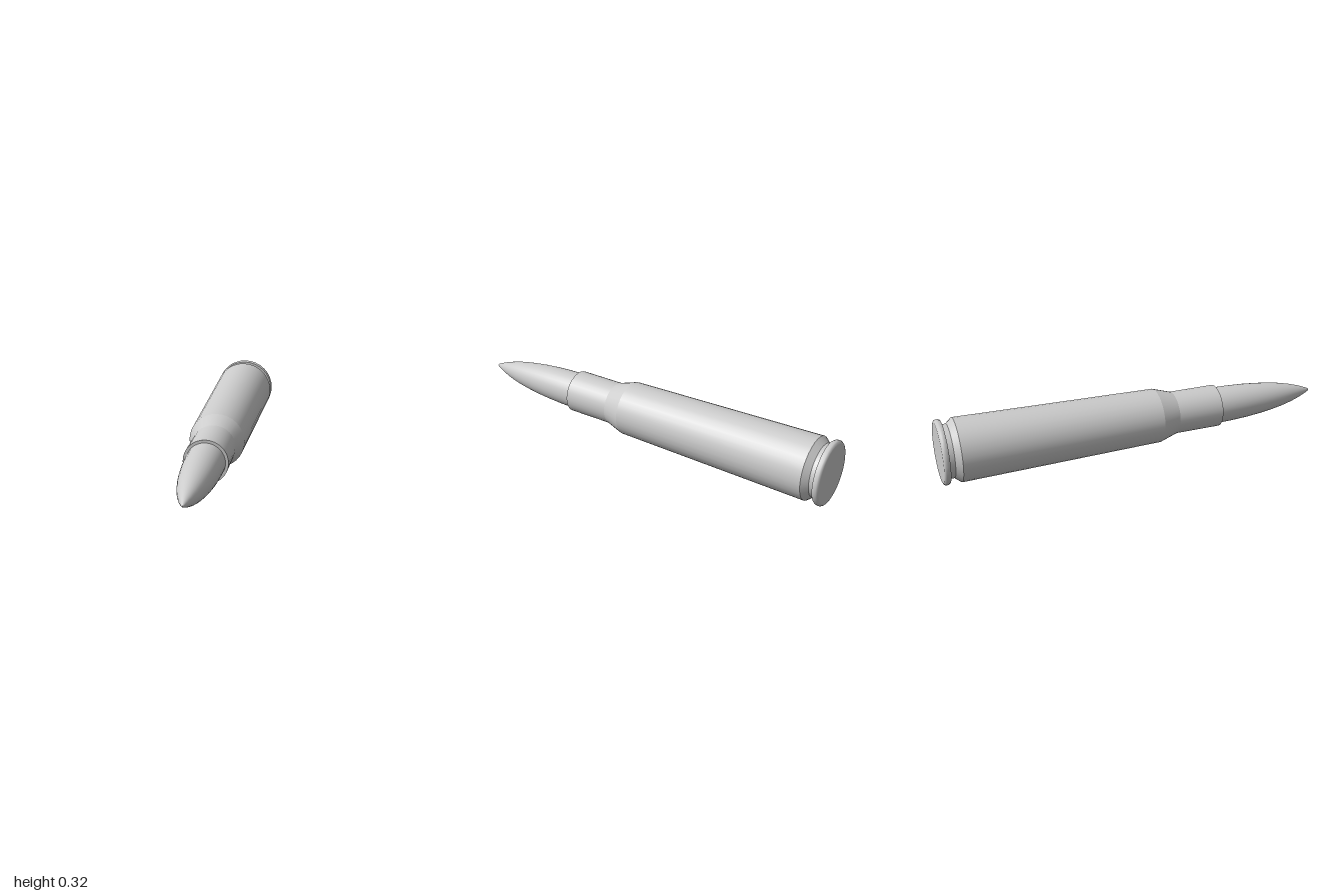
import * as THREE from 'three';

const SEGMENTS = 32;
const AXIS_HEIGHT = 0.16;

// Each section is a smooth strip of [radius, z] points, listed back to front;
// a new section starts wherever the profile has a sharp edge.
function turnedPart(name, sections, material) {
  const part = new THREE.Group();
  part.name = name;
  sections.forEach(([sectionName, points]) => {
    const profile = points.map(([r, z]) => new THREE.Vector2(r, z));
    const geometry = new THREE.LatheGeometry(profile, SEGMENTS);
    geometry.rotateX(Math.PI / 2);
    const mesh = new THREE.Mesh(geometry, material);
    mesh.name = sectionName;
    part.add(mesh);
  });
  return part;
}

export function createModel() {
  const model = new THREE.Group();
  model.name = 'cartridge';
  const material = new THREE.MeshStandardMaterial({ color: 0xcccccc });

  // Base disc with a rounded rim
  const base = turnedPart('base', [
    ['baseFace', [[0, -1], [0.146, -1]]],
    ['rim', [[0.146, -1], [0.154, -0.997], [0.159, -0.99], [0.159, -0.978], [0.154, -0.969]]],
    ['rimFront', [[0.154, -0.969], [0.132, -0.969]]],
  ], material);

  // Groove, tapered body, shoulder, neck and mouth
  const casing = turnedPart('casing', [
    ['groove', [[0.132, -0.969], [0.132, -0.943]]],
    ['grooveBevel', [[0.132, -0.943], [0.158, -0.912]]],
    ['body', [[0.158, -0.912], [0.138, 0.11]]],
    ['shoulder', [[0.138, 0.11], [0.108, 0.205]]],
    ['neck', [[0.108, 0.205], [0.108, 0.443]]],
    ['mouth', [[0.108, 0.443], [0.092, 0.443]]],
  ], material);

  // Pointed tip seated in the neck
  const tip = turnedPart('tip', [
    ['ogive', [
      [0.094, 0.4], [0.094, 0.45], [0.092, 0.53], [0.088, 0.61], [0.081, 0.69],
      [0.072, 0.76], [0.061, 0.825], [0.047, 0.885], [0.031, 0.937],
      [0.017, 0.972], [0.009, 0.991], [0.004, 0.998], [0, 1],
    ]],
  ], material);

  model.add(base, casing, tip);
  model.children.forEach((part) => { part.position.y = AXIS_HEIGHT; });
  return model;
}
